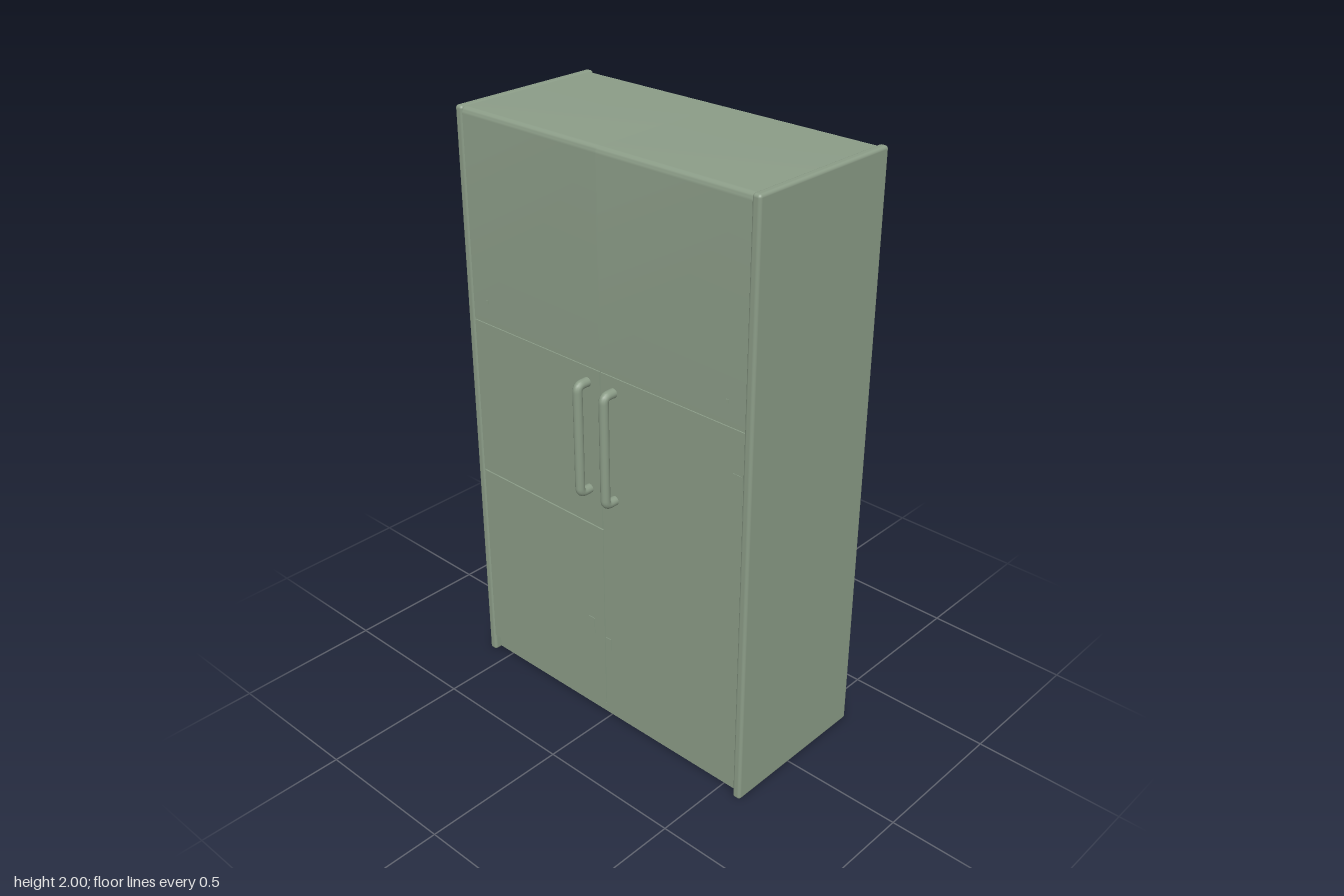
import * as THREE from 'three';
import { RoundedBoxGeometry } from 'three/addons/geometries/RoundedBoxGeometry.js';
import { toCreasedNormals } from 'three/addons/utils/BufferGeometryUtils.js';

const sage = new THREE.MeshStandardMaterial({ color: 0x8b9c87 });
sage.name = 'sage green';

const BASE = 0.065, TOP = 1.997, FRONT = 0.247, BACK = -0.295;

function add(group, name, geometry, x = 0, y = 0, z = 0) {
  const mesh = new THREE.Mesh(geometry, sage);
  mesh.name = name;
  mesh.position.set(x, y, z);
  group.add(mesh);
  return mesh;
}

// Side profile of the cabinet, with seams [y0, y1, depth] cut in its front,
// extruded across from x0 to x1.
function carcass(x0, x1, back, seams) {
  const r = 0.02, s = new THREE.Shape();
  s.moveTo(-FRONT, BASE);
  for (const [y0, y1, depth] of seams) {
    s.lineTo(-FRONT, y0);
    s.lineTo(-FRONT + depth, y0);
    s.lineTo(-FRONT + depth, y1);
    s.lineTo(-FRONT, y1);
  }
  s.lineTo(-FRONT, TOP - r);
  s.quadraticCurveTo(-FRONT, TOP, -FRONT + r, TOP);
  s.lineTo(-back - 0.008, TOP);
  s.lineTo(-back, TOP - 0.008);
  s.lineTo(-back, BASE);
  const g = new THREE.ExtrudeGeometry(s, { depth: x1 - x0, bevelEnabled: false, curveSegments: 6 });
  g.rotateY(Math.PI / 2);
  g.translate(x0, 0, 0);
  return toCreasedNormals(g, 0.6);
}

// Bar handle with rounded elbows, ends sunk in the door
function handleGeometry() {
  const v = (y, z) => new THREE.Vector3(0, y, z);
  const lo = 0.885, hi = 1.257, out = 0.289, r = 0.02;
  const path = new THREE.CurvePath();
  path.add(new THREE.LineCurve3(v(lo, 0.24), v(lo, out - r)));
  path.add(new THREE.QuadraticBezierCurve3(v(lo, out - r), v(lo, out), v(lo + r, out)));
  path.add(new THREE.LineCurve3(v(lo + r, out), v(hi - r, out)));
  path.add(new THREE.QuadraticBezierCurve3(v(hi - r, out), v(hi, out), v(hi, out - r)));
  path.add(new THREE.LineCurve3(v(hi, out - r), v(hi, 0.24)));
  return new THREE.TubeGeometry(path, 90, 0.0155, 14, false);
}

export function createModel() {
  const cabinet = new THREE.Group();
  cabinet.name = 'cabinet';

  // Two halves with a narrow seam between them, front and back
  const upperSeam = [1.307, 1.313, 0.004];
  add(cabinet, 'rightHalf', carcass(-0.57, -0.002, BACK, [[0.752, 0.758, 0.005], upperSeam]));
  add(cabinet, 'leftHalf', carcass(0.002, 0.57, BACK, [upperSeam]));
  add(cabinet, 'centreSeam', carcass(-0.002, 0.002, BACK + 0.003, [[BASE + 0.001, 1.31, 0.003]]));

  // Side panels run to the floor and stand slightly proud
  for (const side of [-1, 1]) {
    add(cabinet, side < 0 ? 'rightSide' : 'leftSide',
      new RoundedBoxGeometry(0.03, 2, 0.557, 3, 0.01), side * 0.574, 1, -0.0275);
    add(cabinet, side < 0 ? 'rightHandle' : 'leftHandle', handleGeometry(), side * 0.055);
    add(cabinet, 'screwCap', new THREE.BoxGeometry(0.01, 0.012, 0.003), side * 0.495, 1.385, FRONT);
  }

  // Open plinth below: recessed toe kick, back rail and middle divider
  add(cabinet, 'toeKick', new THREE.BoxGeometry(1.13, 0.06, 0.02), 0, 0.036, 0.215);
  add(cabinet, 'backRail', new THREE.BoxGeometry(1.13, 0.064, 0.02), 0, 0.036, -0.285);
  add(cabinet, 'divider', new THREE.BoxGeometry(0.022, 0.035, 0.48), 0, 0.05, -0.035);

  // Small plates on the doors
  add(cabinet, 'latchPlate', new THREE.BoxGeometry(0.035, 0.135, 0.003), 0.54, 1.1, FRONT);
  add(cabinet, 'rightCatch', new THREE.BoxGeometry(0.026, 0.06, 0.004), -0.06, 0.36, FRONT);
  add(cabinet, 'leftCatch', new THREE.BoxGeometry(0.024, 0.06, 0.004), 0.016, 0.31, FRONT);

  return cabinet;
}
